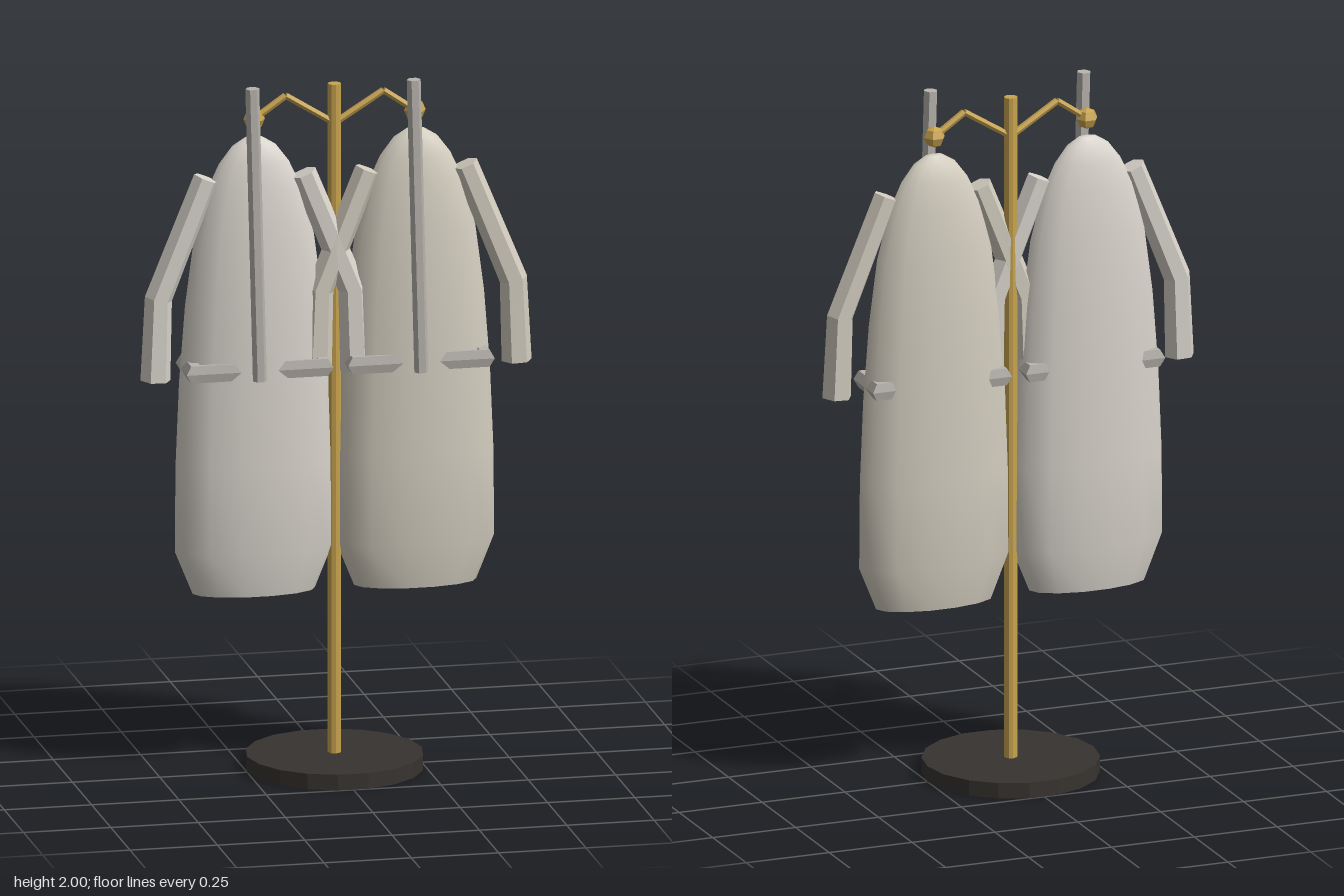
import * as THREE from 'three';
import { toCreasedNormals } from 'three/addons/utils/BufferGeometryUtils.js';

const V = (x, y, z = 0) => new THREE.Vector3(x, y, z);
const UP = V(0, 1, 0);

function part(name, geometry, material) {
  const mesh = new THREE.Mesh(geometry, material);
  mesh.name = name;
  return mesh;
}

// Straight round bar between two points
function bar(a, b, radius, sides) {
  const d = b.clone().sub(a);
  const g = new THREE.CylinderGeometry(radius, radius, d.length(), sides);
  g.applyQuaternion(new THREE.Quaternion().setFromUnitVectors(UP, d.clone().normalize()));
  return g.translate(...a.clone().add(b).multiplyScalar(0.5).toArray());
}

// Closed six-sided tube with mitred bends; the path bends in the xy plane
function hexTube(points, radii) {
  const pos = [], index = [], sides = 6, last = points.length - 1;
  const direction = (i) => points[i + 1].clone().sub(points[i]).setZ(0).normalize();
  points.forEach((p, i) => {
    const before = direction(Math.max(i - 1, 0));
    const after = direction(Math.min(i, last - 1));
    const t = before.clone().add(after).normalize();
    const miter = 1 / t.dot(after);
    for (let k = 0; k < sides; k++) {
      const a = (k / sides) * Math.PI * 2;
      const u = Math.cos(a) * radii[i] * miter;
      pos.push(p.x - t.y * u, p.y + t.x * u, p.z + Math.sin(a) * radii[i]);
    }
  });
  for (let i = 0; i < last; i++) {
    for (let k = 0; k < sides; k++) {
      const a = i * sides + k, b = i * sides + ((k + 1) % sides);
      index.push(a, b, b + sides, a, b + sides, a + sides);
    }
  }
  const end = last * sides;
  for (let k = 1; k < sides - 1; k++) {
    index.push(0, k + 1, k, end, end + k, end + k + 1);
  }
  const g = new THREE.BufferGeometry();
  g.setAttribute('position', new THREE.Float32BufferAttribute(pos, 3));
  g.setIndex(index);
  g.computeVertexNormals();
  return g;
}

// One hanging coat, centred on its own x = 0
function createCoat(name, color) {
  const coat = new THREE.Group();
  coat.name = name;
  const smooth = new THREE.MeshStandardMaterial({ color });
  const flat = new THREE.MeshStandardMaterial({ color, flatShading: true });
  const trim = new THREE.MeshStandardMaterial({ color: 0xb8b4ae, flatShading: true });

  // Flattened body with tapered hem and rounded shoulders
  const profile = [
    [0, 0.525], [0.175, 0.525], [0.226, 0.65], [0.224, 0.9], [0.214, 1.14], [0.197, 1.36],
    [0.172, 1.55], [0.135, 1.69], [0.1, 1.765], [0.062, 1.815], [0.025, 1.838], [0, 1.84],
  ].map(([x, y]) => new THREE.Vector2(x, y));
  const body = new THREE.LatheGeometry(profile, 14);
  body.rotateY(Math.PI / 2).scale(1, 1, 0.41);
  coat.add(part('coatBody', toCreasedNormals(body, 0.8), smooth));

  // Bent sleeves
  for (const s of [-1, 1]) {
    const path = [V(s * 0.14, 1.73, 0.013), V(s * 0.277, 1.39, 0.018), V(s * 0.286, 1.155, 0.02)];
    coat.add(part(s > 0 ? 'leftSleeve' : 'rightSleeve', hexTube(path, [0.036, 0.039, 0.043]), flat));
  }

  // Four-cornered belt, mostly sunk into the body
  const belt = new THREE.TorusGeometry(1, 0.15, 6, 4);
  belt.rotateZ(Math.PI / 4).rotateX(Math.PI / 2).scale(0.258, 0.19, 0.09).translate(0, 1.18, 0.01);
  coat.add(part('belt', belt, trim));

  // Long front strip, leaning slightly
  const strip = hexTube([V(-0.022, 2, 0.081), V(-0.002, 1.155, 0.089)], [0.02, 0.02]);
  coat.add(part('frontStrip', strip, trim));
  return coat;
}

export function createModel() {
  const model = new THREE.Group();
  model.name = 'coatStand';
  const dark = new THREE.MeshStandardMaterial({ color: 0x37332f, flatShading: true });
  const brass = new THREE.MeshStandardMaterial({ color: 0xc9a44f, flatShading: true });

  // Base and pole
  const base = new THREE.CylinderGeometry(0.25, 0.25, 0.045, 18);
  model.add(part('base', base.rotateY(Math.PI / 2).translate(0, 0.0225, 0), dark));
  model.add(part('pole', bar(V(0, 0.04), V(0, 1.98), 0.019, 10), brass));

  for (const s of [-1, 1]) {
    // Hook arm with ball end
    const side = s > 0 ? 'left' : 'right';
    const hook = new THREE.Group();
    hook.name = side + 'Hook';
    const root = V(0, 1.865), bend = V(s * 0.14, 1.952), tip = V(s * 0.23, 1.89);
    hook.add(part('innerArm', bar(root, bend, 0.01, 6), brass));
    hook.add(part('outerArm', bar(bend, tip, 0.01, 6), brass));
    const ball = new THREE.SphereGeometry(0.031, 6, 4).translate(tip.x, tip.y, 0);
    hook.add(part('ball', ball, brass));
    model.add(hook);

    // Coat hanging below the hook
    const coat = createCoat(side + 'Coat', s > 0 ? 0xd3cdbf : 0xd8d3cb);
    coat.position.x = s * 0.231;
    model.add(coat);
  }
  return model;
}
